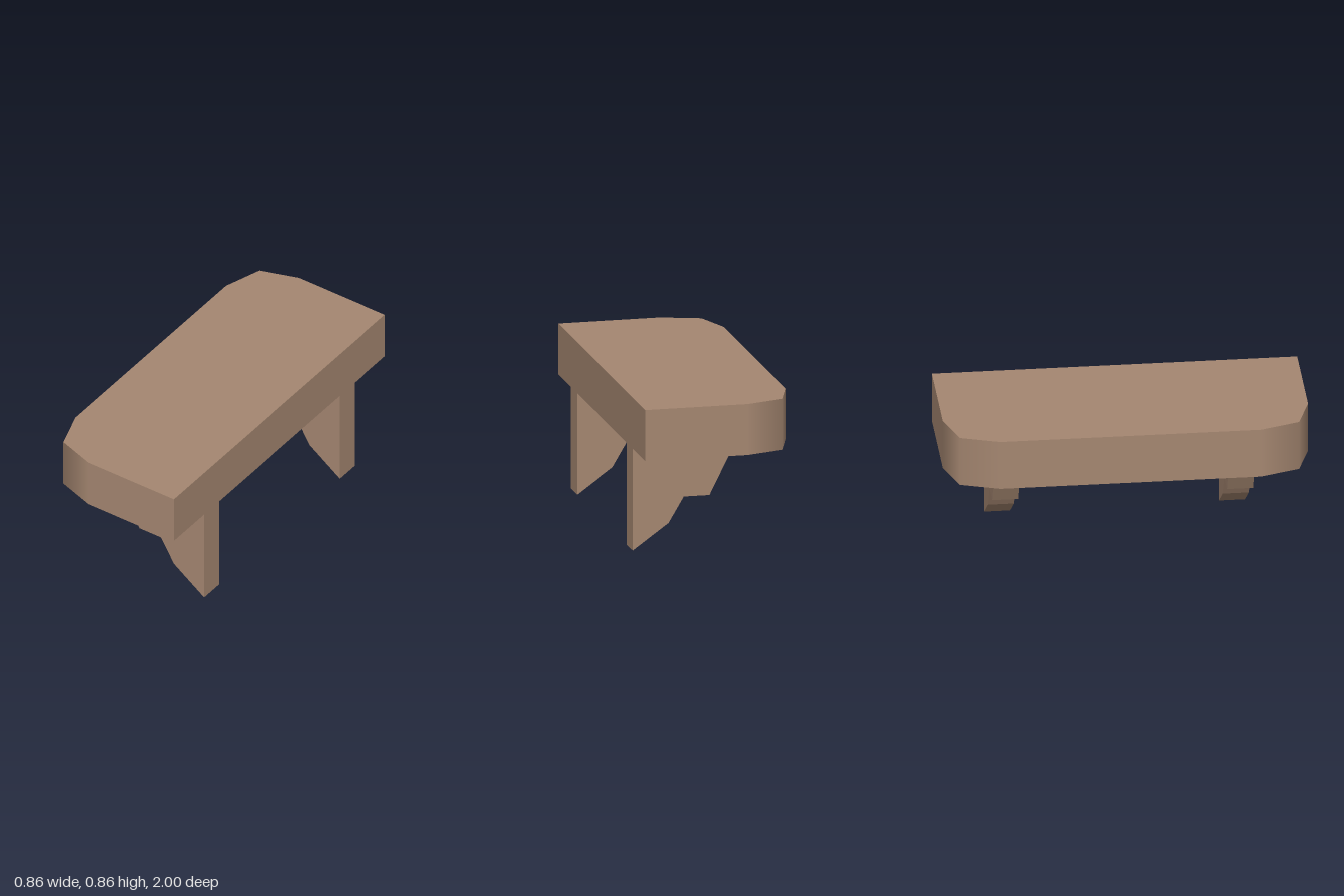
import * as THREE from 'three';

const HALF = 0.428, R = 0.286, TOP = 0.857, THICK = 0.286;

function extrude(points, depth) {
  const shape = new THREE.Shape(points.map(([x, y]) => new THREE.Vector2(x, y)));
  return new THREE.ExtrudeGeometry(shape, { depth, bevelEnabled: false });
}

// Shade the two cut corners as one continuous round
function smoothCorners(geometry) {
  const p = geometry.attributes.position, n = geometry.attributes.normal;
  const v = new THREE.Vector3();
  for (let i = 0; i < p.count; i++) {
    const x = p.getX(i), z = p.getZ(i);
    if (Math.abs(n.getY(i)) > 0.5 || x > R - HALF + 0.002 || Math.abs(z) < 0.713) continue;
    v.set(x - (R - HALF), 0, z - Math.sign(z) * (1 - R)).normalize();
    n.setXYZ(i, v.x, v.y, v.z);
  }
}

export function createModel() {
  const group = new THREE.Group();
  const wood = new THREE.MeshStandardMaterial({ color: 0xa58771 });
  wood.name = 'brown wood';

  // Top board, square on the +x edge and rounded on the -x corners
  const half = [[HALF, -1], [R - HALF, -1], [-0.357, -0.929], [-HALF, R - 1]];
  const outline = [...half, ...half.map(([x, z]) => [x, -z]).reverse()];
  const board = extrude(outline, THICK);
  board.rotateX(Math.PI / 2).translate(0, TOP, 0);
  smoothCorners(board);
  const top = new THREE.Mesh(board, wood);
  top.name = 'topBoard';
  group.add(top);

  // Two stepped support brackets
  const profile = [
    [HALF, 0], [HALF, TOP - THICK], [-0.143, TOP - THICK],
    [0, 0.286], [0.143, 0.286], [0.228, 0.143],
  ];
  const bracket = extrude(profile, 0.143).translate(0, 0, -0.0715);
  for (const [name, side] of [['frontBracket', 1], ['backBracket', -1]]) {
    const mesh = new THREE.Mesh(bracket, wood);
    mesh.name = name;
    mesh.position.z = side * 0.643;
    group.add(mesh);
  }
  return group;
}
